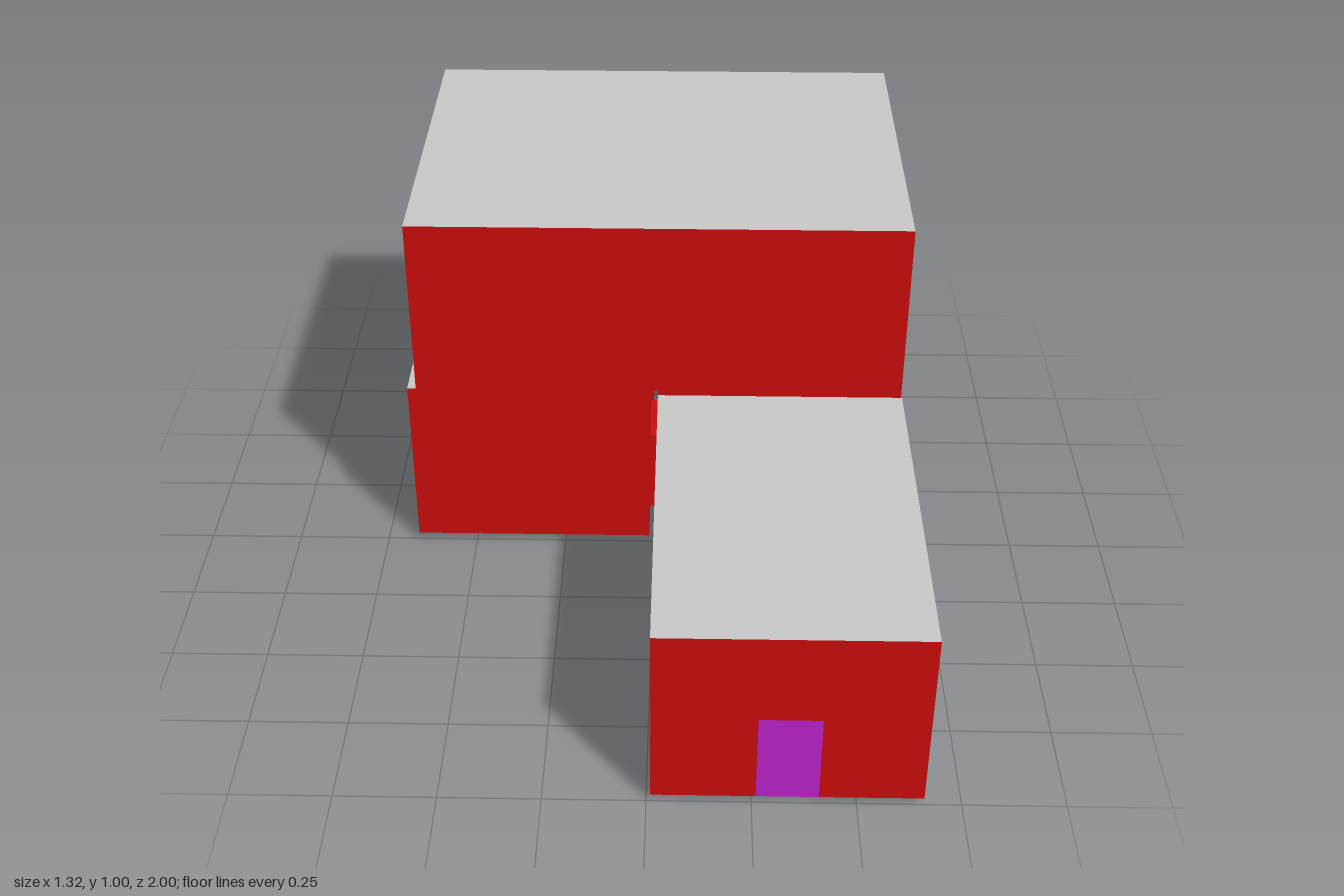
import * as THREE from 'three';

const D = THREE.DoubleSide;
const red = new THREE.MeshStandardMaterial({ name: 'red wall', color: 0xcc0d0d, side: D });
const grey = new THREE.MeshStandardMaterial({ name: 'light grey', color: 0xc8c8c8, side: D });
const purple = new THREE.MeshStandardMaterial({ name: 'purple door', color: 0xbc22cd, side: D });

const BASE = 0.02, MID = 0.508, TOP = 1, DOOR = 0.265;

// Flat rectangle a0..a1 by b0..b1, with rectangular holes [a0, a1, b0, b1].
// axis 'z': (a, b) = (x, y); axis 'x': (a, b) = (z, y); axis 'y': (a, b) = (x, z)
function panel(parent, name, mat, axis, at, [a0, a1, b0, b1], openings = []) {
  const points = [[a0, b0]];
  // door openings are notches rising from the bottom edge
  for (const [o0, o1] of openings) points.push([o0, b0], [o0, DOOR], [o1, DOOR], [o1, b0]);
  points.push([a1, b0], [a1, b1], [a0, b1]);
  const shape = new THREE.Shape(points.map(([a, b]) => new THREE.Vector2(a, b)));
  const geo = new THREE.ShapeGeometry(shape);
  if (axis === 'x') geo.rotateY(-Math.PI / 2);
  if (axis === 'y') geo.rotateX(Math.PI / 2);
  geo.translate(axis === 'x' ? at : 0, axis === 'y' ? at : 0, axis === 'z' ? at : 0);
  const mesh = new THREE.Mesh(geo, mat);
  mesh.name = name;
  parent.add(mesh);
}

// Hollow room without a floor; doors lists the openings of each wall
function room(parent, name, [x0, x1, y0, y1, z0, z1], doors = {}) {
  const g = new THREE.Group();
  g.name = name;
  panel(g, 'frontWall', red, 'z', z1, [x0, x1, y0, y1], doors.front);
  panel(g, 'backWall', red, 'z', z0, [x0, x1, y0, y1], doors.back);
  panel(g, 'rightWall', red, 'x', x0, [z0, z1, y0, y1], doors.right);
  panel(g, 'leftWall', red, 'x', x1, [z0, z1, y0, y1], doors.left);
  panel(g, 'ceiling', grey, 'y', y1, [x0, x1, z0, z1]);
  parent.add(g);
}

export function createModel() {
  const model = new THREE.Group();
  model.name = 'house';

  const hallDoor = [0.26, 0.41], sideDoor = [0.19, 0.34];
  const backDoor = [0.42, 0.555], roomDoor = [-0.32, -0.14];

  // Rooms
  room(model, 'entranceRoom', [0.01, 0.66, BASE, MID, 0.02, 1],
    { front: [hallDoor], back: [hallDoor], right: [sideDoor] });
  room(model, 'stairRoom', [0.01, 0.66, BASE, MID, -0.975, 0],
    { front: [hallDoor], back: [backDoor], right: [roomDoor] });
  room(model, 'sideRoom', [-0.663, -0.014, BASE, MID, -0.975, 0], { left: [roomDoor] });
  room(model, 'upperRoom', [-0.64, 0.66, MID, TOP, -0.975, 0]);

  // Door leaves
  panel(model, 'frontDoor', purple, 'z', 1, [...hallDoor, BASE, DOOR]);
  panel(model, 'backDoor', grey, 'z', -0.975, [...backDoor, BASE, DOOR]);

  // Short passages lining the doorways between rooms
  for (const x of hallDoor) panel(model, 'hallJamb', red, 'x', x, [0, 0.02, BASE, DOOR]);
  panel(model, 'hallLintel', red, 'y', DOOR, [...hallDoor, 0, 0.02]);
  for (const z of roomDoor) panel(model, 'roomJamb', red, 'z', z, [-0.014, 0.01, BASE, DOOR]);
  panel(model, 'roomLintel', red, 'y', DOOR, [-0.014, 0.01, ...roomDoor]);

  // Staircase climbing to the back along the left wall
  const stairs = new THREE.Group();
  stairs.name = 'stairs';
  const steps = 16, zStart = -0.325, run = 0.675 / steps, rise = MID / steps;
  for (let i = 0; i < steps; i++) {
    const z = zStart - i * run, y = (i + 1) * rise;
    panel(stairs, 'tread', red, 'y', y, [0.5, 0.66, z - run, z]);
    if (i > 0) panel(stairs, 'riser', red, 'z', z, [0.5, 0.66, y - rise, y]);
  }
  panel(stairs, 'stairSide', red, 'x', 0.6595, [-1, zStart, 0, MID]);
  model.add(stairs);

  return model;
}
